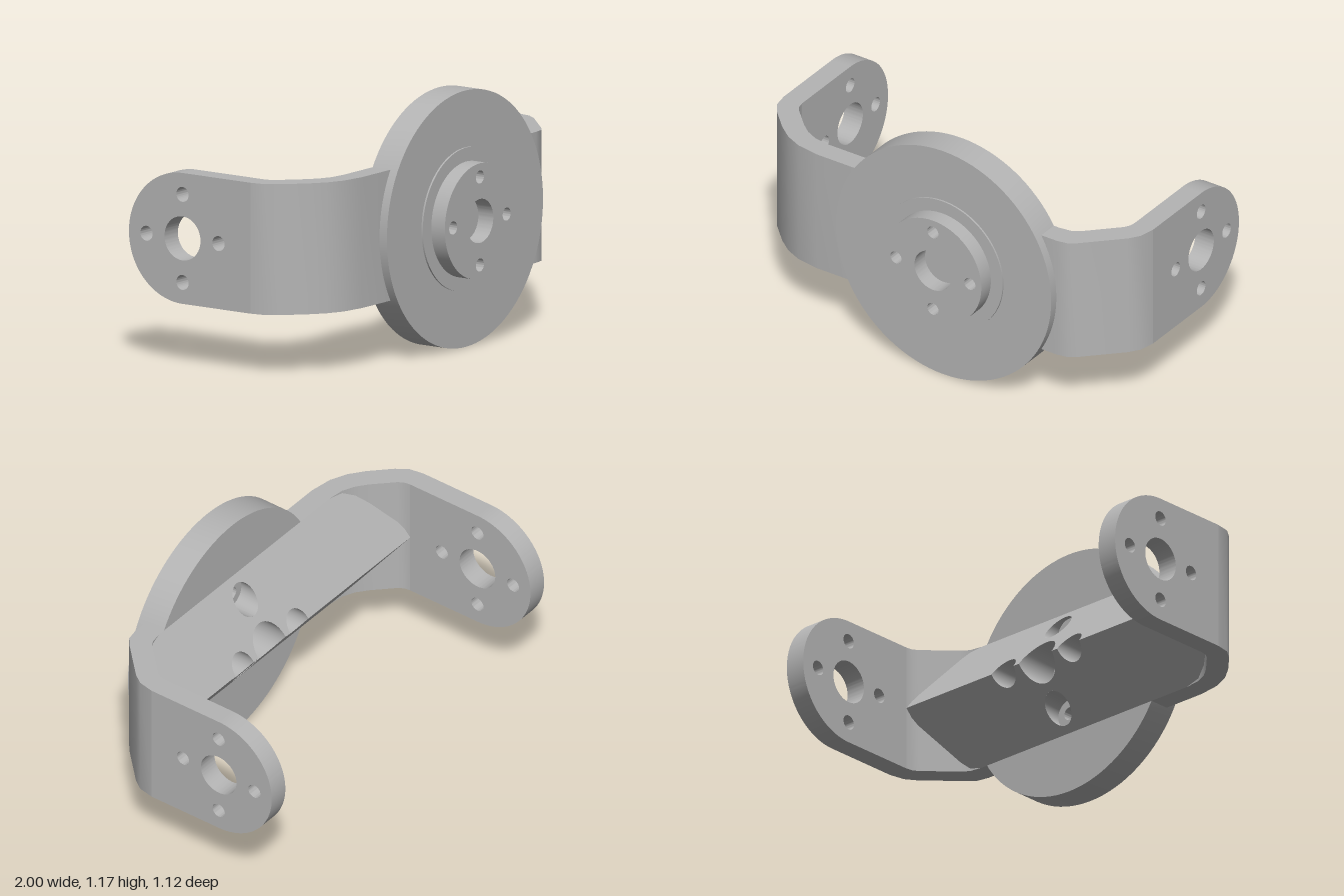
import * as THREE from 'three';
import { toCreasedNormals } from 'three/addons/utils/BufferGeometryUtils.js';

const CY = 0.585;            // height of the main axis
const HALF = 0.2975;         // half the height of the bracket
const AX = 0.115;            // x of the wheel hub axis
const BACK = 0.338;          // rear plane of the flange, base of the wedge
const RIDGE = 0.115;         // z of the wedge ridge
const SLOPE = (BACK - RIDGE) / HALF;
const SCREW = 0.2;           // screw circle radius

// Bend profiles in (x, z)
const bends = {
  left: {
    inner: [[0.9, RIDGE], [0.895, 0.145], [0.88, 0.17], [0.745, 0.305], [0.71, 0.329], [0.65, BACK]],
    outer: [[1, RIDGE], [0.985, 0.19], [0.95, 0.24], [0.79, 0.4], [0.755, 0.427], [0.7, 0.437]],
    end: 0.59
  },
  right: {
    inner: [[-0.9, RIDGE], [-0.895, 0.145], [-0.88, 0.17], [-0.79, 0.26], [-0.74, 0.3], [-0.68, 0.328], [-0.6, BACK]],
    outer: [[-1, RIDGE], [-0.988, 0.185], [-0.95, 0.24], [-0.86, 0.33], [-0.79, 0.384], [-0.71, 0.42], [-0.6, 0.437]],
    end: -0.36
  }
};

export function createModel() {
  const group = new THREE.Group();
  const steel = new THREE.MeshStandardMaterial({ color: 0xb4b4b4 });
  steel.name = 'grey metal';

  const add = (name, geometry) => {
    const mesh = new THREE.Mesh(geometry, steel);
    mesh.name = name;
    group.add(mesh);
  };
  const extrude = (shape, depth) =>
    new THREE.ExtrudeGeometry(shape, { depth, bevelEnabled: false, curveSegments: 48 });
  const crease = (g) => toCreasedNormals(g, 0.6);
  const addHole = (shape, x, y, r) => shape.holes.push(new THREE.Path().absarc(x, y, r, 0, Math.PI * 2, true));
  const screwSpots = [[SCREW, 0], [0, SCREW], [-SCREW, 0], [0, -SCREW]];

  // Round plates of the hub, drilled along z
  const plate = (name, radius, z0, z1, bore) => {
    const shape = new THREE.Shape().absarc(0, 0, radius, 0, Math.PI * 2, false);
    screwSpots.forEach(([x, y]) => addHole(shape, x, y, 0.03));
    if (bore) addHole(shape, 0, 0, bore);
    add(name, crease(extrude(shape, z1 - z0).translate(AX, CY, z0)));
  };
  plate('flange', 0.583, BACK, 0.478, 0);
  plate('hubStep', 0.325, 0.478, 0.486, 0.1);
  plate('hub', 0.262, 0.486, 0.561, 0.1);

  // Side arms with rounded ends and a hole pattern, plus the bends to the flange
  for (const side of ['left', 'right']) {
    const arm = new THREE.Shape();
    const cz = 0.2625;       // hole centre, measured towards the rear
    arm.moveTo(-RIDGE, -HALF);
    arm.lineTo(cz, -HALF);
    arm.absarc(cz, 0, HALF, -Math.PI / 2, Math.PI / 2, false);
    arm.lineTo(-RIDGE, HALF);
    arm.closePath();
    addHole(arm, cz, 0, 0.1);
    screwSpots.forEach(([u, v]) => addHole(arm, cz + u, v, 0.034));
    const armGeo = extrude(arm, 0.1).rotateY(Math.PI / 2);
    armGeo.translate(side === 'left' ? 0.9 : -1, CY, 0);
    add(side + 'Arm', crease(armGeo));

    const { inner, outer, end } = bends[side];
    const outline = [...inner, [end, BACK], [end, 0.437], ...[...outer].reverse()];
    const bend = new THREE.Shape(outline.map(([x, z]) => new THREE.Vector2(x, z)));
    const bendGeo = extrude(bend, HALF * 2).rotateX(Math.PI / 2);
    add(side + 'Bend', crease(bendGeo.translate(0, CY + HALF, 0)));
  }

  // Bores at the back: the wide centre one and four screw recesses
  const bores = [[0, 0, 0.1], ...screwSpots.map(([x, y]) => [x, y, 0.067])];
  const wedgeZ = (y) => RIDGE + SLOPE * Math.abs(y);

  // Two sloping faces of the wedge, trimmed by the inside of the bends
  for (const sign of [1, -1]) {
    const face = new THREE.Shape();
    const edge = (points) => points.forEach(([x, z]) => face.lineTo(x, sign * (z - RIDGE) / SLOPE));
    face.moveTo(-0.9, 0);
    for (const [x, y, r] of bores.filter((b) => b[1] === 0).sort((a, b) => a[0] - b[0])) {
      face.lineTo(AX + x - r, y);
      face.absarc(AX + x, 0, r, Math.PI, 0, sign > 0);
    }
    edge(bends.left.inner);
    edge([...bends.right.inner].reverse().slice(0, -1));
    addHole(face, AX, sign * SCREW, 0.067);
    const geo = new THREE.ShapeGeometry(face, 32).scale(1, -1, 1);
    const p = geo.attributes.position;
    for (let i = 0; i < p.count; i++) p.setZ(i, wedgeZ(p.getY(i)));
    geo.translate(0, CY, 0);
    geo.computeVertexNormals();
    add(sign > 0 ? 'wedgeLowerFace' : 'wedgeUpperFace', geo);
  }

  // Bore walls, facing inward, that end on the wedge faces
  for (const [x, y, r] of bores) {
    const wall = new THREE.CylinderGeometry(r, r, 2, 48, 1, true).rotateX(Math.PI / 2);
    wall.scale(-1, 1, 1).translate(x, y, 0);
    const p = wall.attributes.position;
    for (let i = 0; i < p.count; i++) p.setZ(i, p.getZ(i) > 0 ? BACK : wedgeZ(p.getY(i)));
    wall.translate(AX, CY, 0);
    wall.computeVertexNormals();
    add('boreWall', wall);
  }

  return group;
}
